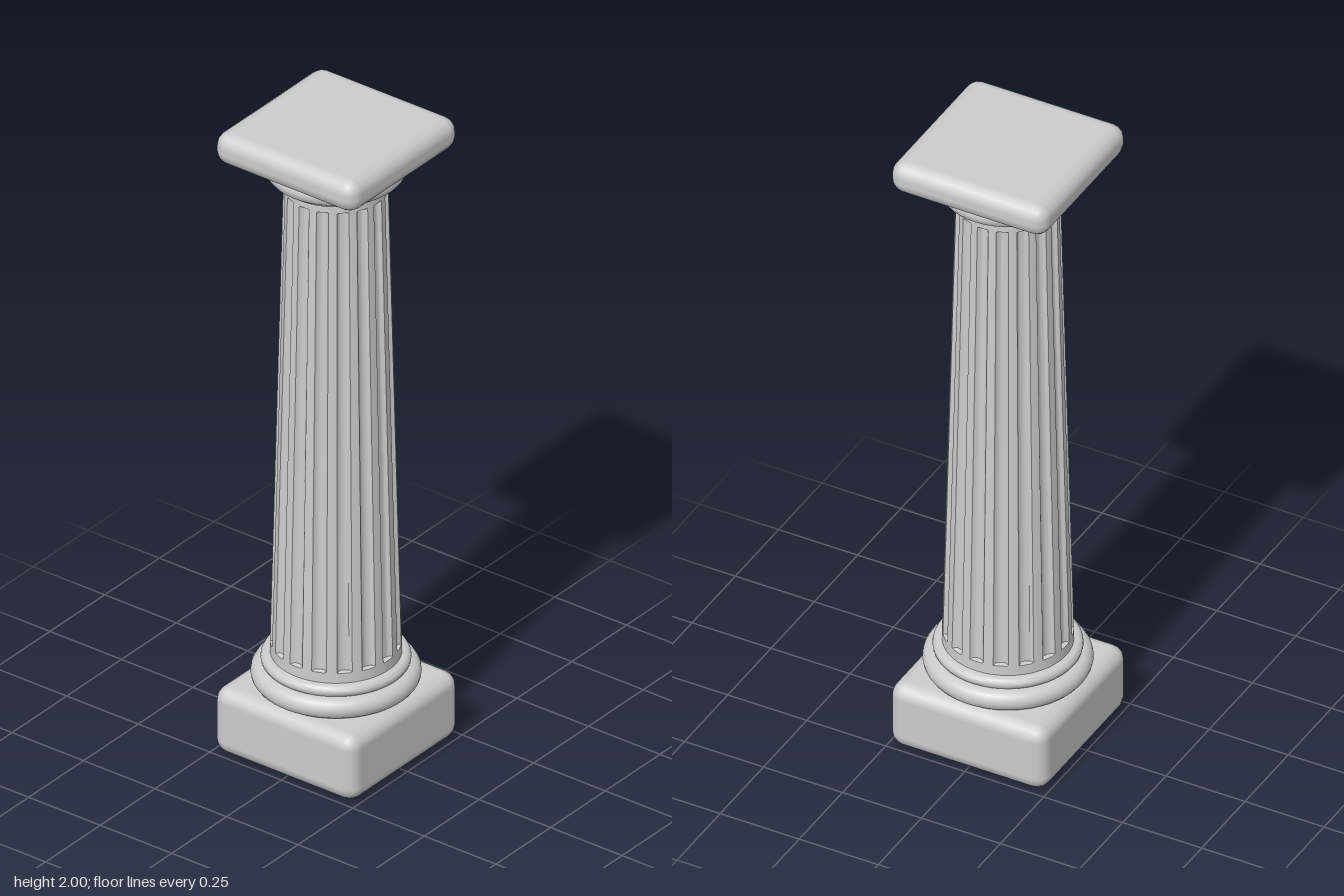
import * as THREE from 'three';
import { toCreasedNormals } from 'three/addons/utils/BufferGeometryUtils.js';
import { RoundedBoxGeometry } from 'three/addons/geometries/RoundedBoxGeometry.js';

const stone = new THREE.MeshStandardMaterial({ color: 0xcccccc });

function addMesh(group, name, geometry) {
  const mesh = new THREE.Mesh(geometry, stone);
  mesh.name = name;
  group.add(mesh);
  return mesh;
}

// Square slab with softened edges, spanning y0 to y1
function addSlab(group, name, y0, y1) {
  const slab = addMesh(group, name, new RoundedBoxGeometry(0.496, y1 - y0, 0.496, 2, 0.043));
  slab.position.y = (y0 + y1) / 2;
}

// Round moulding with a half-round edge, spanning y0 to y1
function addRing(group, name, y0, y1, radius) {
  const r = (y1 - y0) / 2;
  const profile = [new THREE.Vector2(0, y0)];
  for (let i = 0; i <= 8; i++) {
    const a = -Math.PI / 2 + (i / 8) * Math.PI;
    profile.push(new THREE.Vector2(radius - r + r * Math.cos(a), (y0 + y1) / 2 + r * Math.sin(a)));
  }
  profile.push(new THREE.Vector2(0, y1));
  addMesh(group, name, toCreasedNormals(new THREE.LatheGeometry(profile, 48), 0.7));
}

// Tapered shaft: a cylinder whose vertices sink into flutes between plain ends
function flutedShaft() {
  const flutes = 16, steps = 10, depth = 0.014;
  const rows = [1.84, 1.8, 1.797, 1.07, 0.338, 0.335, 0.295];
  const columns = flutes * steps;
  const geometry = new THREE.CylinderGeometry(1, 1, 1, columns, rows.length - 1, true);
  const position = geometry.attributes.position;
  for (let i = 0; i < position.count; i++) {
    const row = Math.floor(i / (columns + 1));
    const column = i % (columns + 1);
    const y = rows[row];
    let radius = THREE.MathUtils.mapLinear(y, 0.3, 1.83, 0.184, 0.146);
    const offset = ((column + steps / 2) % steps) - steps / 2;
    if (row > 1 && row < rows.length - 2 && Math.abs(offset) < 3) {
      radius -= depth * Math.sqrt(1 - (offset / 3) ** 2);
    }
    const angle = (column % columns) / columns * Math.PI * 2;
    position.setXYZ(i, radius * Math.sin(angle), y, radius * Math.cos(angle));
  }
  return toCreasedNormals(geometry, 0.6);
}

export function createModel() {
  const column = new THREE.Group();
  column.name = 'column';

  // Base
  addSlab(column, 'plinth', 0, 0.21);
  addRing(column, 'lowerBaseRing', 0.208, 0.272, 0.238);
  addRing(column, 'upperBaseRing', 0.268, 0.304, 0.21);

  addMesh(column, 'shaft', flutedShaft());

  // Capital
  addRing(column, 'neckRing', 1.828, 1.85, 0.168);
  addRing(column, 'capitalRing', 1.842, 1.902, 0.2);
  addSlab(column, 'abacus', 1.9, 2);

  return column;
}
